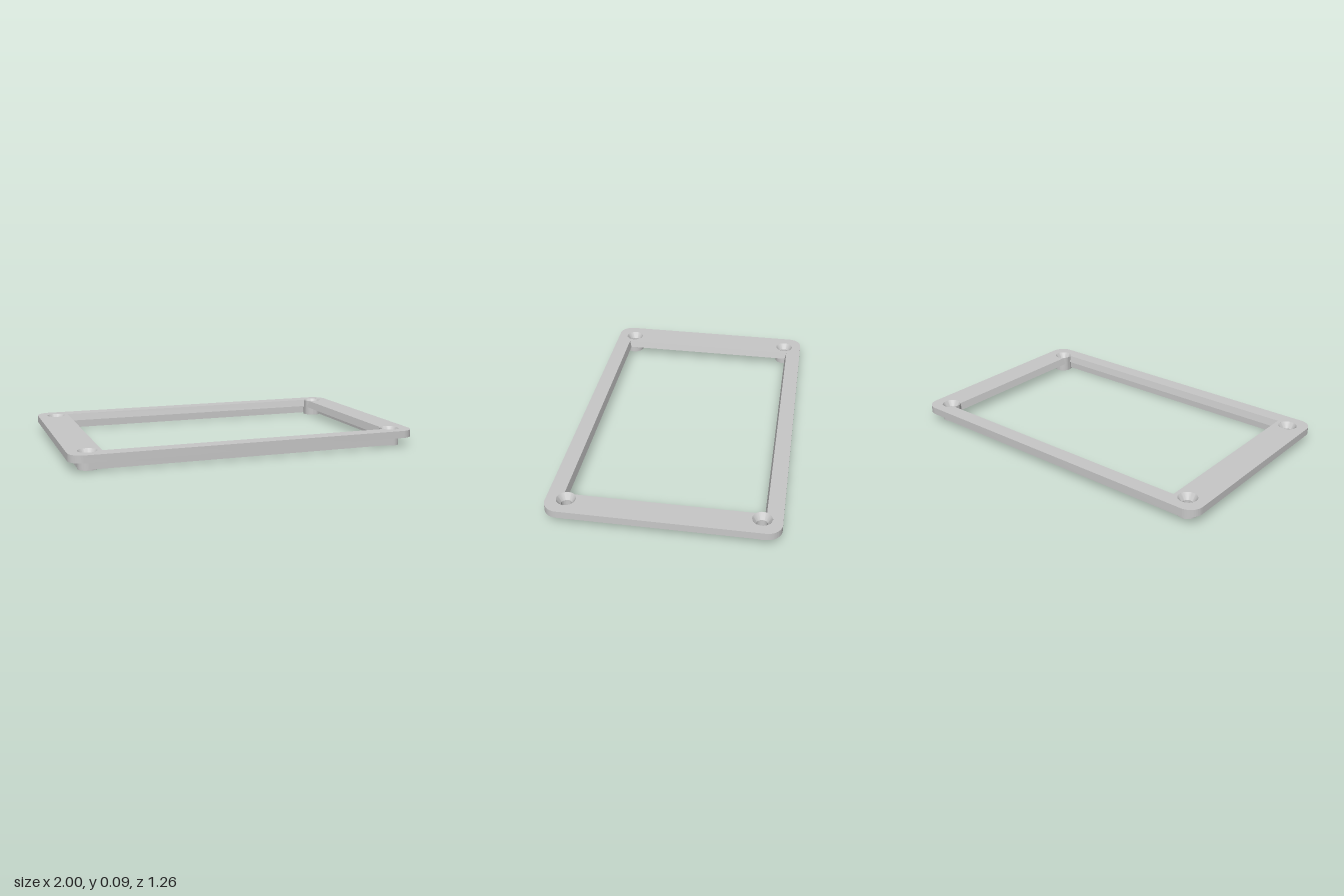
import * as THREE from 'three';
import { toCreasedNormals } from 'three/addons/utils/BufferGeometryUtils.js';

const TOP = 0.095, PLATE_Y = 0.053, RIM_Y = 0.005;
const BX = 0.89, BZ = 0.52, BR = 0.055, HOLE = 0.03; // screw boss position and radii

function roundedRect(target, w, h, r) {
  target.absarc(w - r, h - r, r, 0, Math.PI / 2);
  target.absarc(-w + r, h - r, r, Math.PI / 2, Math.PI);
  target.absarc(-w + r, -h + r, r, Math.PI, Math.PI * 1.5);
  target.absarc(w - r, -h + r, r, Math.PI * 1.5, Math.PI * 2);
  target.closePath();
  return target;
}

function extrudeUp(shape, y0, y1, adjust) {
  const geo = new THREE.ExtrudeGeometry(shape, { depth: y1 - y0, bevelEnabled: false, curveSegments: 16 });
  if (adjust) adjust(geo.attributes.position);
  geo.rotateX(-Math.PI / 2).translate(0, y0, 0);
  return toCreasedNormals(geo, 0.5);
}

export function createModel() {
  const group = new THREE.Group();
  const grey = new THREE.MeshStandardMaterial({ color: 0xc8c8c8 });
  grey.name = 'light grey plastic';
  const add = (name, geo) => {
    const mesh = new THREE.Mesh(geo, grey);
    mesh.name = name;
    group.add(mesh);
    return mesh;
  };

  // Top plate: the window runs into the two screw holes on its +x side
  const left = -0.815, right = 0.85, half = 0.54;
  const angX = Math.acos((right - BX) / BR);
  const angZ = Math.PI - Math.asin((half - BZ) / BR);
  const plate = roundedRect(new THREE.Shape(), 1, 0.628, 0.08);
  const opening = new THREE.Path();
  opening.moveTo(left, half);
  opening.lineTo(left, -half);
  opening.absarc(BX, -BZ, BR, -angZ, angX);
  opening.absarc(BX, BZ, BR, -angX, angZ);
  opening.closePath();
  plate.holes.push(opening);
  for (const s of [-1, 1]) {
    plate.holes.push(new THREE.Path().absarc(-BX, s * BZ, BR, 0, Math.PI * 2));
  }
  // Slope the window edges: the lower opening is slightly smaller
  const near = (a, b) => Math.abs(a - b) < 1e-4;
  add('topPlate', extrudeUp(plate, PLATE_Y, TOP, (p) => {
    for (let i = 0; i < p.count; i++) {
      if (p.getZ(i) > 1e-4) continue;
      const x = p.getX(i), y = p.getY(i);
      if (near(x, left)) p.setX(i, left + 0.01);
      if (near(x, right)) p.setX(i, right - 0.012);
      if (near(Math.abs(y), half)) p.setY(i, Math.sign(y) * (half - 0.01));
    }
  }));

  // Thin locating rim under the plate, its corners concentric with the screw holes
  const rim = roundedRect(new THREE.Shape(), BX + BR, BZ + BR, BR);
  rim.holes.push(roundedRect(new THREE.Path(), BX + HOLE, BZ + HOLE, HOLE));
  add('lowerRim', extrudeUp(rim, RIM_Y, PLATE_Y));

  // Countersunk screw bosses at the corners
  const profile = [[HOLE, 0], [BR, 0], [BR, TOP], [0.053, TOP], [HOLE, 0.06], [HOLE, 0]]
    .map(([r, y]) => new THREE.Vector2(r, y));
  const bossGeo = toCreasedNormals(new THREE.LatheGeometry(profile, 40), 0.5);
  for (const sx of [-1, 1]) {
    for (const sz of [-1, 1]) {
      add('screwBoss', bossGeo).position.set(sx * BX, 0, sz * BZ);
    }
  }
  return group;
}
